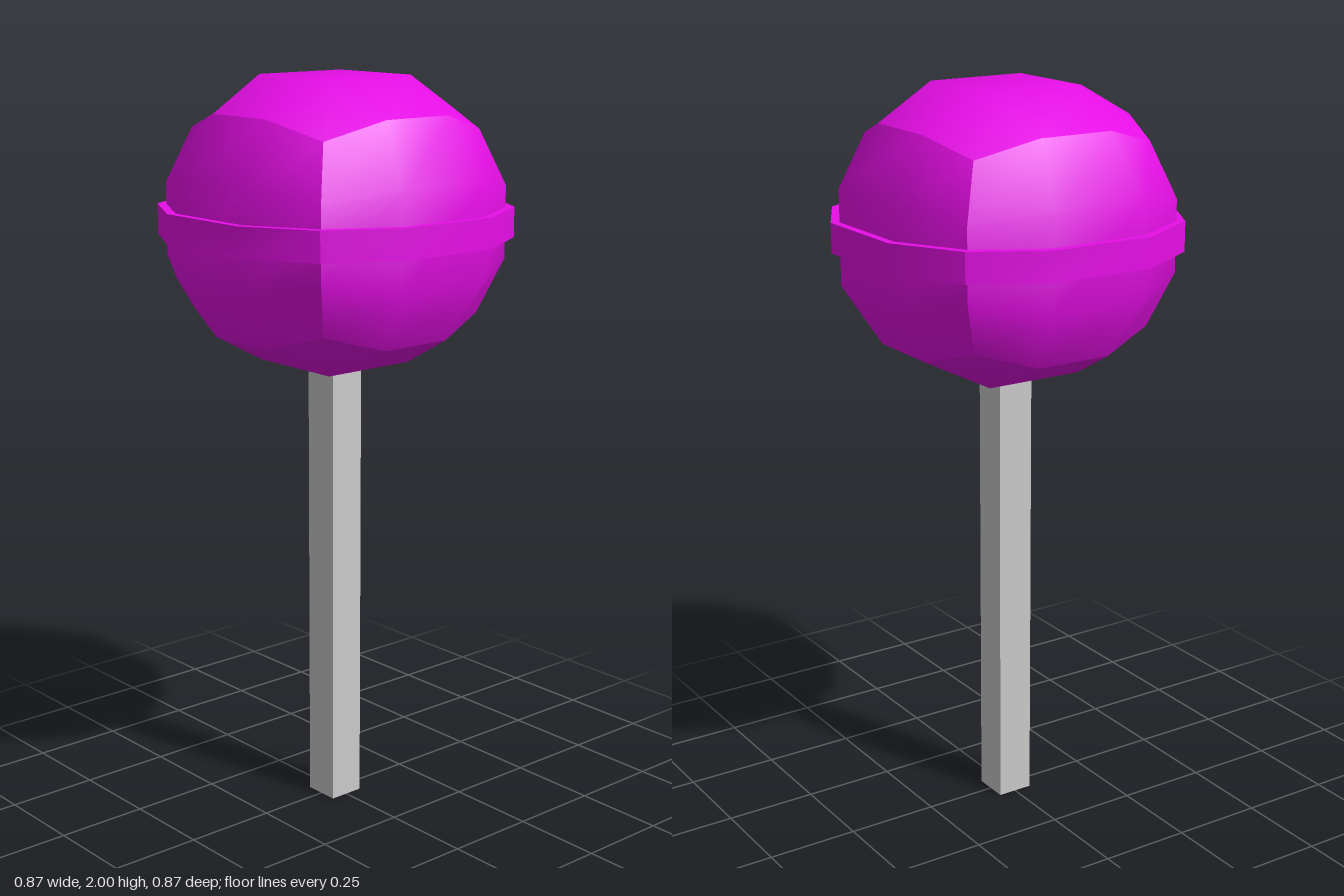
import * as THREE from 'three';

const CENTRE_Y = 1.6225;

// Cube with 3 x 3 faces per side, every vertex moved by a rule.
// Each cube side keeps its own smooth normals, so the cube edges stay creased.
function shapedCube(ySegments, move) {
  const geometry = new THREE.BoxGeometry(2, 2, 2, 3, ySegments, 3);
  const position = geometry.attributes.position;
  const v = new THREE.Vector3();
  for (let i = 0; i < position.count; i++) {
    move(v.fromBufferAttribute(position, i));
    position.setXYZ(i, v.x, v.y, v.z);
  }
  geometry.computeVertexNormals();
  return geometry;
}

export function createModel() {
  const group = new THREE.Group();
  const candyMaterial = new THREE.MeshStandardMaterial({ color: 0xe60ee6 });
  const stickMaterial = new THREE.MeshStandardMaterial({ color: 0xcccccc });

  function add(name, geometry, material, y) {
    const mesh = new THREE.Mesh(geometry, material);
    mesh.name = name;
    mesh.position.y = y;
    group.add(mesh);
  }

  // Candy ball: cube blown up to a slightly squashed sphere
  const ball = shapedCube(3, (v) => {
    v.normalize().multiplyScalar(0.459);
    v.y *= 0.91;
  });
  add('candyBall', ball, candyMaterial, CENTRE_Y);

  // Flat-sided band following the ball's twelve-sided outline
  const band = shapedCube(1, (v) => {
    const y = Math.sign(v.y) * 0.04;
    v.y = 1 / 3;
    v.normalize().multiplyScalar(0.483);
    v.y = y;
  });
  add('candyBand', band, candyMaterial, CENTRE_Y);

  // Square stick, its top set into the ball
  const stickHeight = 1.27;
  add('stick', new THREE.BoxGeometry(0.1, stickHeight, 0.1), stickMaterial, stickHeight / 2);

  return group;
}
